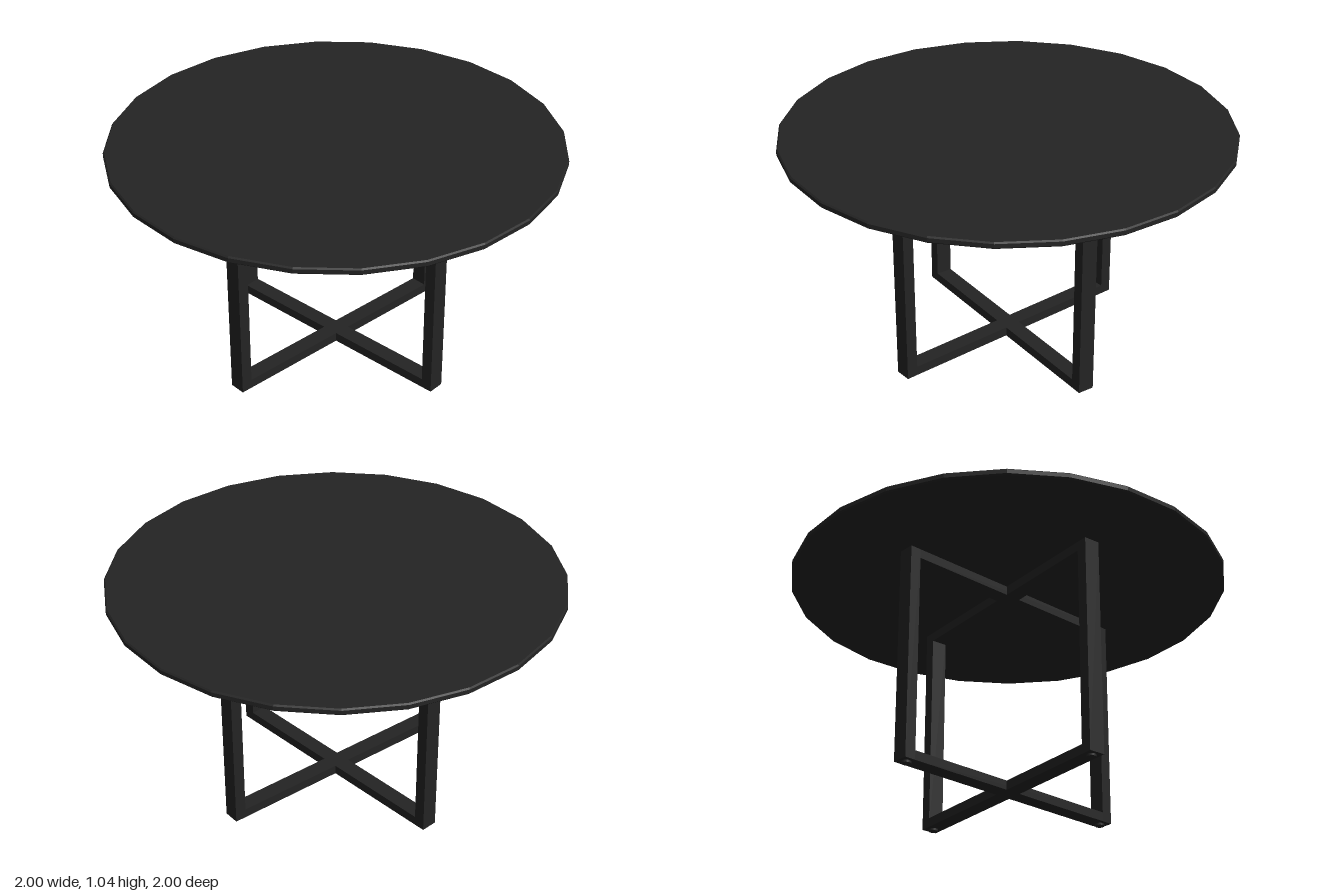
import * as THREE from 'three';

export function createModel() {
  const model = new THREE.Group();
  model.name = 'roundTable';
  const black = new THREE.MeshStandardMaterial({ color: 0x242424 });
  black.name = 'black';

  const add = (parent, name, geometry, x, y, z) => {
    const mesh = new THREE.Mesh(geometry, black);
    mesh.name = name;
    mesh.position.set(x, y, z);
    parent.add(mesh);
  };

  // 24-sided top with a small bevel, faceted
  const profile = [[0, 1.01], [0.994, 1.01], [1, 1.016], [1, 1.034], [0.994, 1.04], [0, 1.04]];
  const top = new THREE.LatheGeometry(profile.map(([r, y]) => new THREE.Vector2(r, y)), 24).toNonIndexed();
  top.computeVertexNormals();
  add(model, 'tableTop', top, 0, 0, 0);

  // Two upright rectangular frames crossing under the top
  const radius = 0.575, legThick = 0.052, depth = 0.075, low = 0.01, high = 1.01, bar = 0.043;
  const span = 2 * radius - legThick;
  const addFrame = (name, angle) => {
    const frame = new THREE.Group();
    frame.name = name;
    frame.rotation.y = THREE.MathUtils.degToRad(angle);
    for (const side of [-1, 1]) {
      add(frame, 'leg', new THREE.BoxGeometry(legThick, high - low, depth), side * radius, (low + high) / 2, 0);
      add(frame, 'footPad', new THREE.CylinderGeometry(0.021, 0.021, low, 16), side * (radius - 0.01), low / 2, 0);
    }
    add(frame, 'bottomBar', new THREE.BoxGeometry(span, bar, depth), 0, low + bar / 2, 0);
    add(frame, 'topBar', new THREE.BoxGeometry(span, bar, depth), 0, high - bar / 2, 0);
    model.add(frame);
  };
  addFrame('frameA', -32.8);
  addFrame('frameB', 52.6);

  return model;
}
